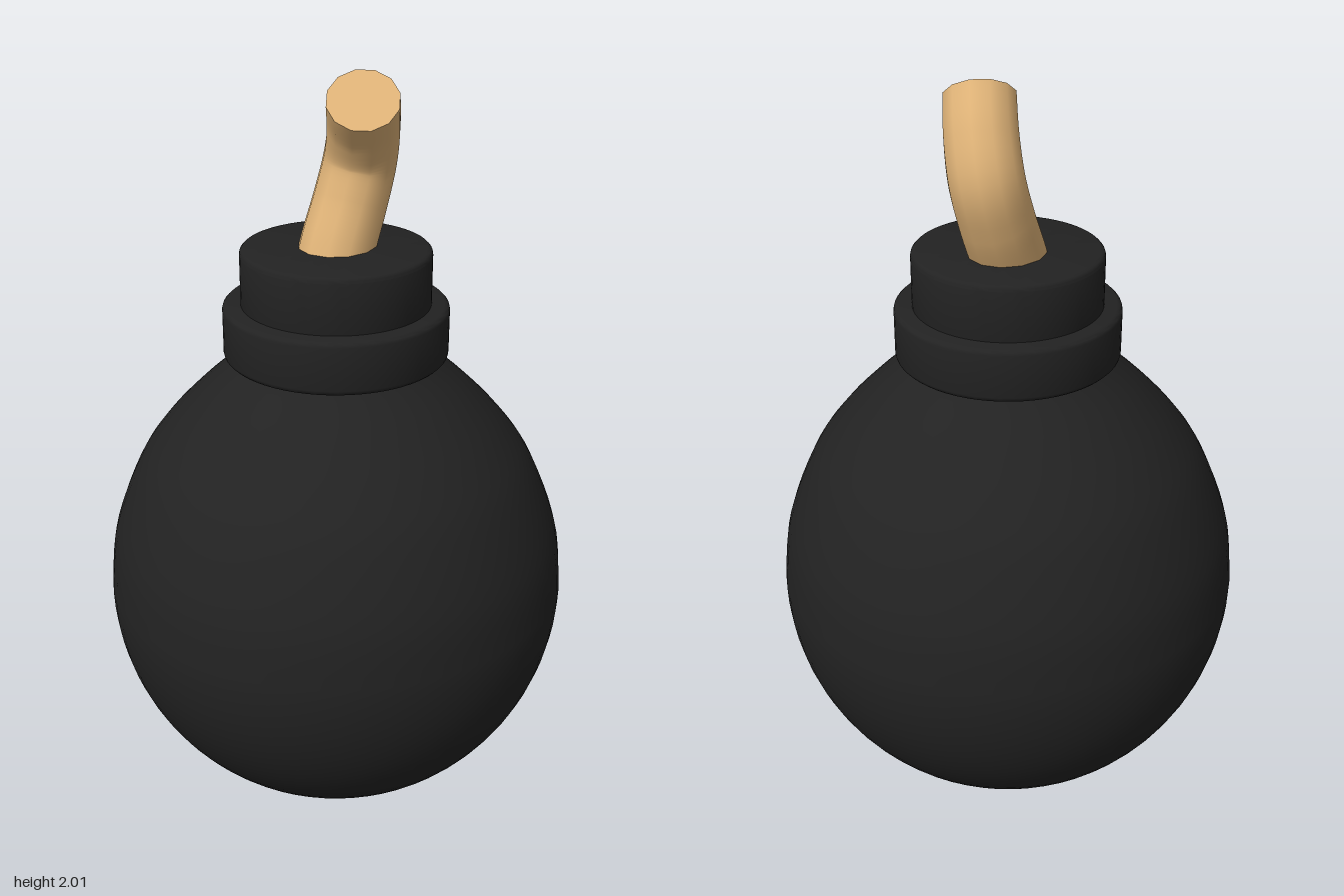
import * as THREE from 'three';
import { toCreasedNormals } from 'three/addons/utils/BufferGeometryUtils.js';

const black = new THREE.MeshStandardMaterial({ color: 0x222222 });
const rope = new THREE.MeshStandardMaterial({ color: 0xdeb277 });

function part(name, geometry, material) {
  const mesh = new THREE.Mesh(geometry, material);
  mesh.name = name;
  return mesh;
}

// Round shell whose upper half draws in to a neck under the collar
function bodyGeometry() {
  const points = [];
  const r = 0.62, cy = 0.645;
  for (let i = 0; i <= 24; i++) {
    const a = (i / 24) * Math.PI / 2;
    points.push(new THREE.Vector2(r * Math.sin(a), cy - (cy - 0.008) * Math.cos(a)));
  }
  const shoulder = new THREE.SplineCurve([
    [0.62, 0.645], [0.6, 0.81], [0.53, 0.99], [0.455, 1.1], [0.36, 1.2], [0.25, 1.3], [0.235, 1.34],
  ].map(([x, y]) => new THREE.Vector2(x, y)));
  points.push(...shoulder.getPoints(28).slice(1));
  return new THREE.LatheGeometry(points, 64);
}

// Closed disc-like ring with small rounded edges
function ringGeometry(radius, y0, y1, bevel = 0.014) {
  const points = [new THREE.Vector2(0, y0)];
  const corner = (y, from) => {
    for (let i = 0; i <= 3; i++) {
      const a = from + (i / 3) * Math.PI / 2;
      points.push(new THREE.Vector2(radius - bevel + bevel * Math.cos(a), y + bevel * Math.sin(a)));
    }
  };
  corner(y0 + bevel, -Math.PI / 2);
  corner(y1 - bevel, 0);
  points.push(new THREE.Vector2(0, y1));
  return toCreasedNormals(new THREE.LatheGeometry(points, 64), 0.6);
}

// Bent, slightly tapering cord with a flat cut end
function createFuse() {
  const sides = 12, steps = 28;
  const curve = new THREE.CatmullRomCurve3([
    [-0.012, 1.5, 0.015], [0, 1.58, -0.018], [0.025, 1.69, -0.066],
    [0.046, 1.79, -0.086], [0.061, 1.88, -0.045], [0.07, 1.96, 0.025],
  ].map((p) => new THREE.Vector3(...p)));
  const tube = new THREE.TubeGeometry(curve, steps, 1, sides);
  const pos = tube.attributes.position;
  const v = new THREE.Vector3();
  for (let i = 0; i <= steps; i++) {
    const c = curve.getPointAt(i / steps);
    const radius = 0.1 - 0.009 * (i / steps);
    for (let j = 0; j <= sides; j++) {
      const k = i * (sides + 1) + j;
      v.fromBufferAttribute(pos, k).sub(c).multiplyScalar(radius).add(c);
      pos.setXYZ(k, v.x, v.y, v.z);
    }
  }

  // The cut end is a fan over the last ring
  const end = curve.getPointAt(1).toArray();
  const corner = (j) => v.fromBufferAttribute(pos, steps * (sides + 1) + j).toArray();
  const fan = [];
  for (let j = 0; j < sides; j++) fan.push(...end, ...corner(j + 1), ...corner(j));
  const cap = new THREE.BufferGeometry();
  cap.setAttribute('position', new THREE.Float32BufferAttribute(fan, 3));
  cap.computeVertexNormals();

  const fuse = new THREE.Group();
  fuse.name = 'fuse';
  fuse.add(part('fuseCord', tube, rope), part('fuseEnd', cap, rope));
  return fuse;
}

export function createModel() {
  const model = new THREE.Group();
  model.name = 'bomb';
  model.add(
    part('body', bodyGeometry(), black),
    part('lowerCollar', ringGeometry(0.292, 1.3, 1.44), black),
    part('upperCollar', ringGeometry(0.245, 1.42, 1.585), black),
    createFuse(),
  );
  return model;
}
